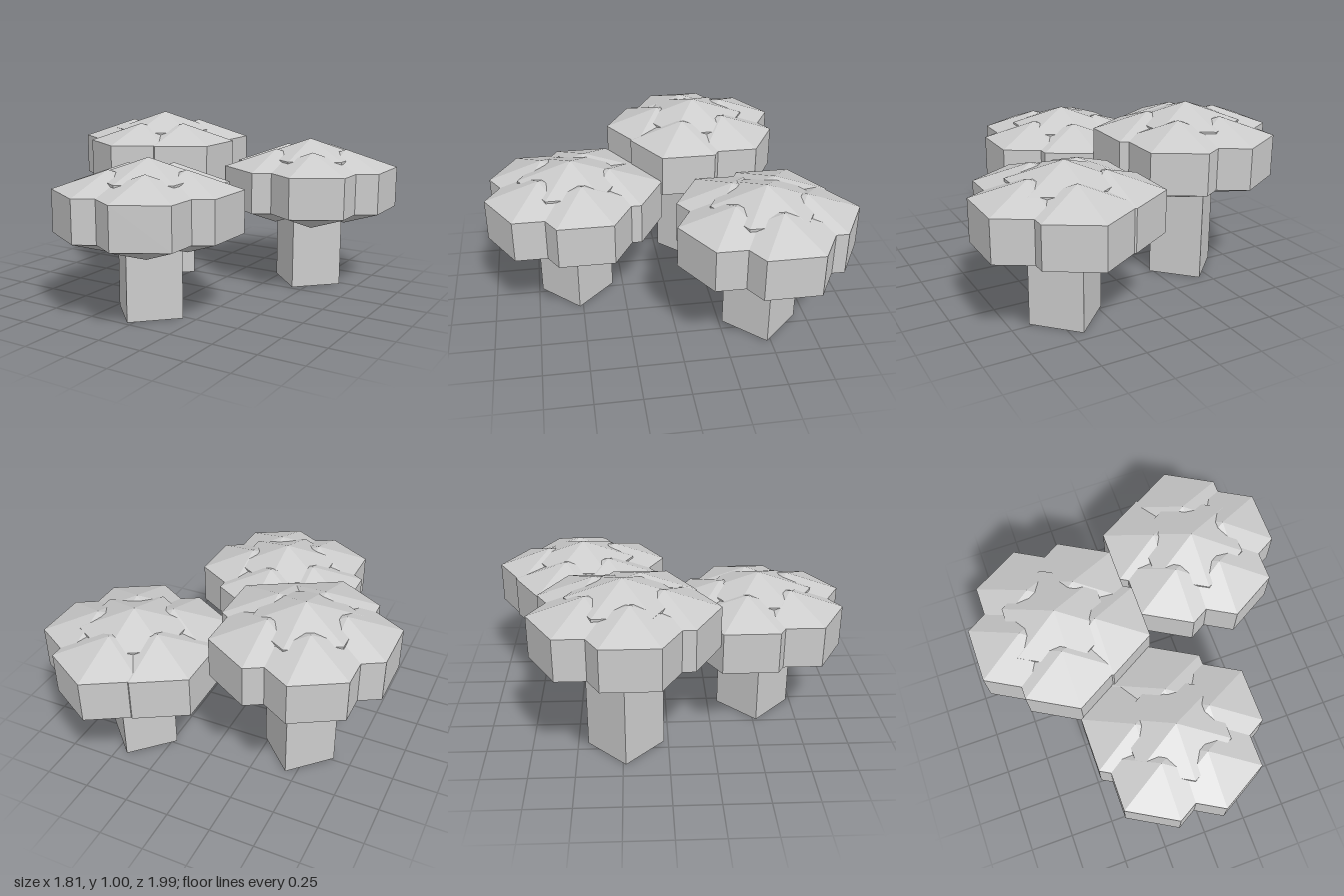
import * as THREE from 'three';

// One grey for everything; double-sided because the trunks are open underneath
const grey = new THREE.MeshStandardMaterial({ color: 0xcccccc, flatShading: true, side: THREE.DoubleSide });
grey.name = 'pale grey';

// Six-sided lobe with a pointed top and bottom, measured from its lower rim
const lobeProfile = [[0, -0.105], [0.3, 0], [0.3, 0.232], [0, 0.335]].map(([r, y]) => new THREE.Vector2(r, y));
const lobeGeometry = new THREE.LatheGeometry(lobeProfile, 6);

function part(name, geometry, x, y, z) {
  const mesh = new THREE.Mesh(geometry, grey);
  mesh.name = name;
  mesh.position.set(x, y, z);
  return mesh;
}

// Open square tube standing on the ground with its corners on the axes
function squareTube(name, radius, height) {
  return part(name, new THREE.CylinderGeometry(radius, radius, height, 4, 1, true), 0, height / 2, 0);
}

function createTree({ x, z, rim, turn }) {
  const tree = new THREE.Group();
  tree.name = 'tree';
  tree.position.set(x, 0, z);
  tree.add(squareTube('trunk', 0.21, rim + 0.06));
  tree.add(squareTube('trunkCore', 0.08, rim + 0.06));

  // Crown: a raised middle lobe ringed by five more
  const crown = new THREE.Group();
  crown.name = 'crown';
  crown.position.y = rim;
  crown.add(part('middleLobe', lobeGeometry, 0, 0.055, 0));
  for (let i = 0; i < 5; i++) {
    const a = THREE.MathUtils.degToRad(turn + i * 72);
    crown.add(part('outerLobe', lobeGeometry, 0.213 * Math.sin(a), 0, -0.213 * Math.cos(a)));
  }
  tree.add(crown);
  return tree;
}

export function createModel() {
  const model = new THREE.Group();
  model.name = 'treeGroup';
  const trees = [
    { x: -0.03, z: 0.52, rim: 0.455, turn: 5 },
    { x: -0.44, z: -0.235, rim: 0.61, turn: 44 },
    { x: 0.435, z: -0.48, rim: 0.475, turn: 8 },
  ];
  for (const t of trees) model.add(createTree(t));
  return model;
}
